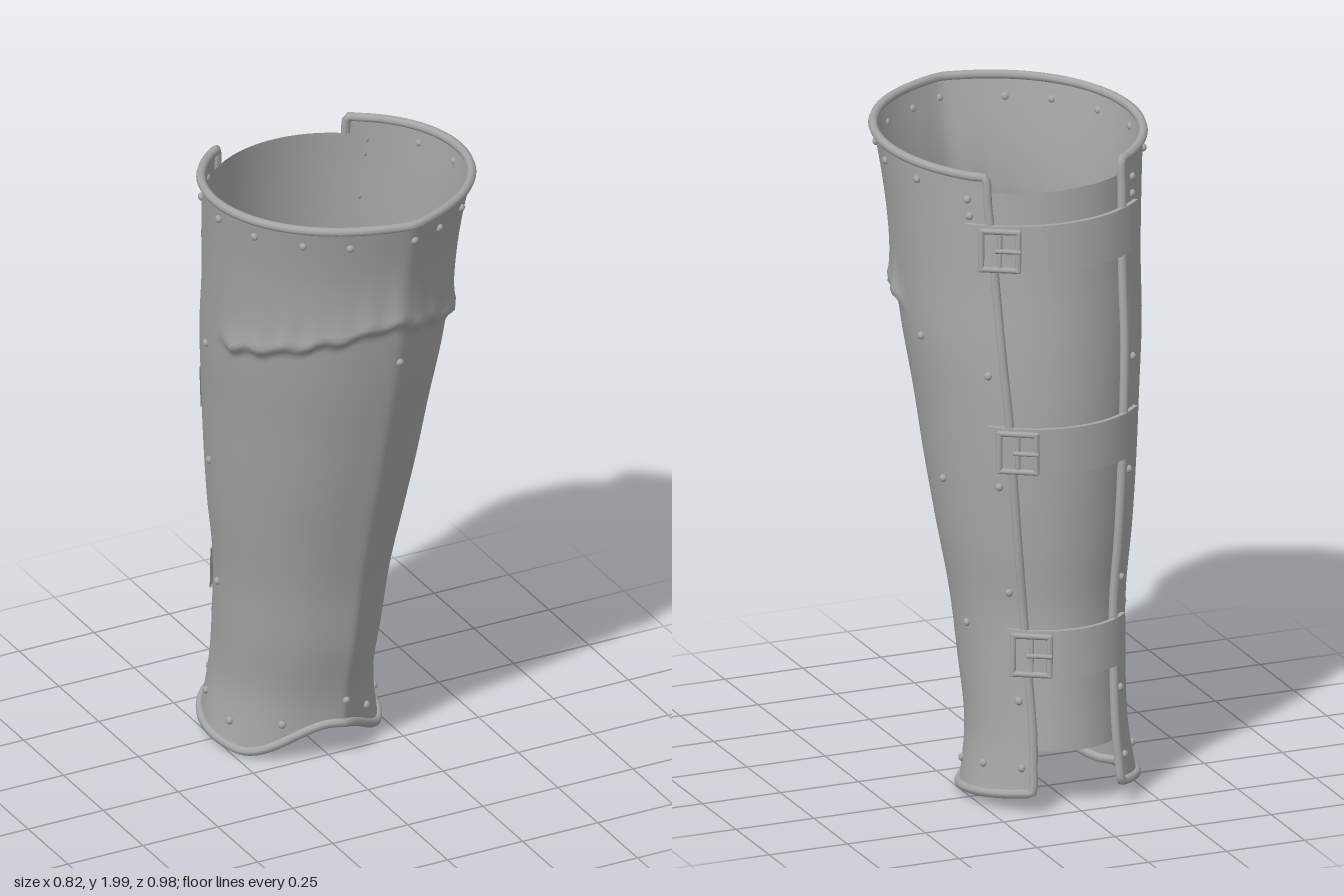
import * as THREE from 'three';
import { toCreasedNormals } from 'three/addons/utils/BufferGeometryUtils.js';

const RAD = Math.PI / 180;
const END = 146; // angle, measured from the front, where the plate stops

// Leg section every 0.2 in height: half width, front z, back z
const sections = new THREE.CatmullRomCurve3([
  [0.268, 0.03, -0.515], [0.238, 0.05, -0.495], [0.243, 0.10, -0.47], [0.257, 0.14, -0.45],
  [0.285, 0.195, -0.455], [0.308, 0.255, -0.455], [0.327, 0.31, -0.45], [0.35, 0.362, -0.43],
  [0.362, 0.405, -0.40], [0.378, 0.437, -0.375], [0.40, 0.485, -0.35],
].map((p) => new THREE.Vector3(...p)), false, 'catmullrom', 0.5);

const clamp = THREE.MathUtils.clamp;

// Overhanging ledge below the knee, lower towards the sides
function ledge(deg, y) {
  const d = Math.abs(deg);
  const s = y - (1.635 - 0.15 * Math.min(1, d / 75) + 0.008 * Math.sin(deg * 0.35));
  const fade = 1 - THREE.MathUtils.smoothstep(d, 76, 90);
  const size = 0.024 + 0.004 * Math.sin(deg * 0.5 + 1);
  return fade * size * (s > 0 ? Math.exp(-s / 0.07) : Math.max(0, 1 + s / 0.03));
}

// Point on the leg surface; angle runs from the front (0) towards +x
function surface(deg, y, off = 0) {
  const { x: a, y: front, z: back } = sections.getPoint(clamp(y / 2, 0, 1));
  const base = front - 0.028;
  const cz = (base + back) / 2, b = (base - back) / 2;
  const s = Math.sin(deg * RAD), c = Math.cos(deg * RAD);
  const out = off + ledge(deg, y);
  const dx = (a * s - 0.035) / (a * 0.26);
  const keel = 0.033 * Math.max(0, c) * Math.exp(-Math.sqrt(dx * dx + 0.03));
  return new THREE.Vector3(s * (a + out), y, cz + c * (b + out) + keel);
}

// Scalloped lower edge and gently sloping upper edge of the plate
function bottomY(deg) {
  const d = Math.abs(deg);
  return d < 60 ? 0.018 + 0.107 * (Math.cos(d * 3 * RAD) + 1) / 2 : 0.018 + 0.05 * (d - 60) / (END - 60);
}
function topY(deg) {
  return 1.925 + 0.06 * Math.pow((1 + Math.cos(deg * RAD)) / 2, 0.6);
}

// Surface grid from a function of (u, v), each 0..1
function grid(nu, nv, fn) {
  const pos = [], index = [];
  for (let j = 0; j <= nv; j++) {
    for (let i = 0; i <= nu; i++) pos.push(...fn(i / nu, j / nv).toArray());
  }
  for (let j = 0; j < nv; j++) {
    for (let i = 0; i < nu; i++) {
      const p = j * (nu + 1) + i, q = p + nu + 1;
      index.push(p, p + 1, q + 1, p, q + 1, q);
    }
  }
  const g = new THREE.BufferGeometry();
  g.setAttribute('position', new THREE.Float32BufferAttribute(pos, 3));
  g.setIndex(index);
  g.computeVertexNormals();
  return g;
}

// Set an object on the surface with its z axis pointing outwards
function place(obj, deg, y, off) {
  const p = surface(deg, y, off);
  const tx = surface(deg + 1, y, off).sub(surface(deg - 1, y, off)).normalize();
  const ty = surface(deg, y + 0.02, off).sub(surface(deg, y - 0.02, off)).normalize();
  const n = tx.clone().cross(ty).normalize();
  obj.quaternion.setFromRotationMatrix(new THREE.Matrix4().makeBasis(tx, n.clone().cross(tx), n));
  obj.position.copy(p);
  return obj;
}

export function createModel() {
  const model = new THREE.Group();
  model.name = 'legGuard';
  const steel = new THREE.MeshStandardMaterial({ color: 0xa6a6a6, side: THREE.DoubleSide });
  steel.name = 'greySteel';
  const add = (name, geometry, parent = model) => {
    const m = new THREE.Mesh(geometry, steel);
    m.name = name;
    parent.add(m);
    return m;
  };

  // Shin plate wrapping the front and sides
  add('shinPlate', grid(120, 120, (u, v) => {
    const deg = (u * 2 - 1) * END;
    return surface(deg, THREE.MathUtils.lerp(bottomY(deg), topY(deg), v));
  }));

  // Rolled rim around the whole plate
  const rim = [];
  const N = 72, M = 24;
  const side = (t) => THREE.MathUtils.lerp(bottomY(END), topY(END), t);
  for (let i = 0; i <= N; i++) {
    const d = (i / N * 2 - 1) * END;
    rim.push(surface(d, bottomY(d)));
  }
  for (let i = 1; i < M; i++) rim.push(surface(END, side(i / M)));
  for (let i = 0; i <= N; i++) {
    const d = (1 - i / N * 2) * END;
    rim.push(surface(d, topY(d)));
  }
  for (let i = 1; i < M; i++) rim.push(surface(-END, side(1 - i / M)));
  const rimCurve = new THREE.CatmullRomCurve3(rim, true, 'centripetal');
  rimCurve.arcLengthDivisions = 1200;
  add('rolledRim', new THREE.TubeGeometry(rimCurve, 480, 0.014, 8, true));

  // Calf panel behind the opening
  add('calfPanel', grid(32, 60, (u, v) => surface(136 + 88 * u, 0.19 + 1.7 * v, -0.014)));

  // Straps and buckles
  const loop = [[-0.07, 0.002], [-0.07, 0.016], [0.07, 0.016], [0.07, 0.002], [-0.07, 0.002]];
  const bar = (parent, name, len, r, x, y, z, across) => {
    const m = add(name, new THREE.CylinderGeometry(r, r, len, 8), parent);
    m.position.set(x, y, z);
    if (across) m.rotation.z = Math.PI / 2;
  };
  for (const y of [1.73, 1.12, 0.49]) {
    add('strap', toCreasedNormals(grid(36, 4, (u, v) => {
      const [dy, off] = loop[Math.round(v * 4)];
      return surface(135 + 90 * u, y + dy, off);
    }), 0.6));
    const buckle = new THREE.Group();
    buckle.name = 'buckle';
    for (const s of [-1, 1]) {
      bar(buckle, 'buckleSide', 0.125, 0.009, s * 0.055, 0, 0, false);
      bar(buckle, 'buckleEnd', 0.12, 0.009, 0, s * 0.058, 0, true);
    }
    bar(buckle, 'buckleBar', 0.12, 0.007, 0, 0, -0.002, false);
    bar(buckle, 'bucklePin', 0.075, 0.007, 0.025, 0, 0.006, true);
    model.add(place(buckle, 150, y, 0.027));
  }

  // Rivets: [angle, height], mirrored unless near the front keel
  const rivetShape = new THREE.SphereGeometry(0.012, 12, 8);
  const rivets = [
    [22, 1.92], [42, 1.92], [65, 1.915], [88, 1.91], [112, 1.9], [137, 1.87], [137, 1.82], [137, 1.67],
    [100, 1.41], [100, 0.98], [100, 0.54],
    [138, 1.34], [138, 1.0], [138, 0.67], [138, 0.34],
    [34, 0.125], [72, 0.1], [107, 0.13], [138, 0.14],
  ];
  const all = [[6, 1.925], [6, 1.48], [8, 0.2]];
  for (const [d, y] of rivets) all.push([d, y], [-d, y]);
  for (const [d, y] of all) {
    const r = place(add('rivet', rivetShape), d, y, 0.003);
    r.scale.z = 0.8;
  }
  return model;
}
